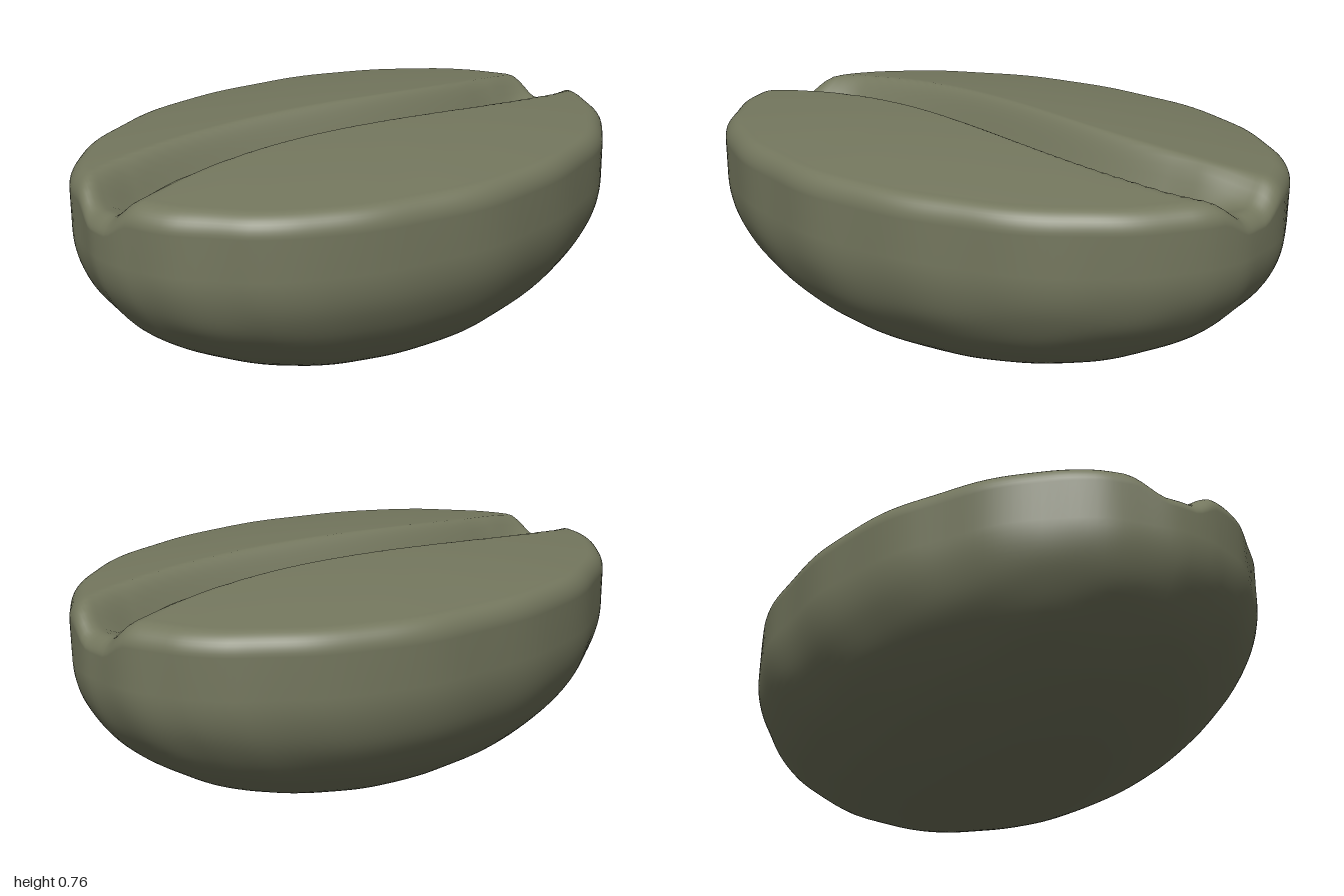
import * as THREE from 'three';

const HALF_W = 0.715, HALF_L = 1;
const SEGMENTS = 192, BELLY_RINGS = 36, RIM_RINGS = 10, TOP_RINGS = 70;
const smooth = (a, b, v) => THREE.MathUtils.smoothstep(v, a, b);

// Half cross-section from the bottom pole, over the rim, to the top centre: [radius 0..1, height]
function sectionPoints() {
  const pts = [];
  for (let i = 1; i <= BELLY_RINGS; i++) {
    const a = (i / BELLY_RINGS) * Math.PI / 2;
    pts.push([Math.sin(a), 0.52 * (1 - Math.cos(a))]);
  }
  for (let i = 0; i <= RIM_RINGS; i++) {
    const a = (i / RIM_RINGS) * Math.PI / 2;
    pts.push([0.925 + 0.075 * Math.cos(a), 0.645 + 0.068 * Math.sin(a)]);
  }
  for (let i = 1; i < TOP_RINGS; i++) {
    const r = 0.925 * (1 - i / TOP_RINGS);
    pts.push([r, topHeight(r)]);
  }
  return pts;
}

// Gently domed flat side
function topHeight(r) {
  return 0.713 + 0.054 * (1 - (r / 0.925) ** 2);
}

// S-curved crease: how far the flat side sinks at a given place
function creaseDrop(x, z) {
  const end = Math.abs(z);
  const centre = -0.1 * Math.sin(Math.PI / 2 * THREE.MathUtils.clamp(z / 0.65, -1, 1)) * (1 - 0.35 * smooth(0.75, 1, end));
  const d = Math.abs(x - centre);
  const depth = 0.17 - 0.11 * smooth(0.65, 1, end);
  const valley = depth * (1 - smooth(0.035, 0.15, d));
  const slit = 0.03 * (1 - smooth(0, 0.035, d)) * (1 - smooth(0.6, 0.78, end));
  return valley + slit;
}

function beanGeometry() {
  const section = sectionPoints();
  const positions = [0, 0, 0], index = [];
  for (const [r, y] of section) {
    for (let j = 0; j < SEGMENTS; j++) {
      const a = (j / SEGMENTS) * Math.PI * 2;
      // Slight unevenness of the outline and the belly
      const wobble = 1 + 0.004 * r * (Math.sin(9 * a + 1) + Math.sin(17 * a + 5 * y));
      const x = HALF_W * r * wobble * Math.sin(a);
      const z = HALF_L * r * Math.min(wobble, 1.002) * Math.cos(a);
      const ripple = 0.003 * Math.sin(14 * x + 5 * z) * Math.sin(30 * y) * (1 - smooth(0.3, 0.5, y));
      positions.push(x, y + ripple - creaseDrop(x, z) * smooth(0.5, 0.69, y), z);
    }
  }
  const top = positions.length / 3;
  positions.push(0, topHeight(0) - creaseDrop(0, 0), 0);

  // Rings joined by quads, closed by a fan at each pole
  const at = (ring, j) => 1 + ring * SEGMENTS + (j % SEGMENTS);
  const last = section.length - 1;
  for (let j = 0; j < SEGMENTS; j++) {
    index.push(0, at(0, j + 1), at(0, j));
    for (let i = 0; i < last; i++) {
      index.push(at(i, j), at(i, j + 1), at(i + 1, j + 1), at(i, j), at(i + 1, j + 1), at(i + 1, j));
    }
    index.push(at(last, j), at(last, j + 1), top);
  }
  const geometry = new THREE.BufferGeometry();
  geometry.setAttribute('position', new THREE.Float32BufferAttribute(positions, 3));
  geometry.setIndex(index);
  geometry.computeVertexNormals();
  return geometry;
}

export function createModel() {
  const group = new THREE.Group();
  group.name = 'coffeeBean';
  const bean = new THREE.Mesh(beanGeometry(), new THREE.MeshStandardMaterial({ color: 0x74775e }));
  bean.name = 'creasedBean';
  group.add(bean);
  return group;
}
